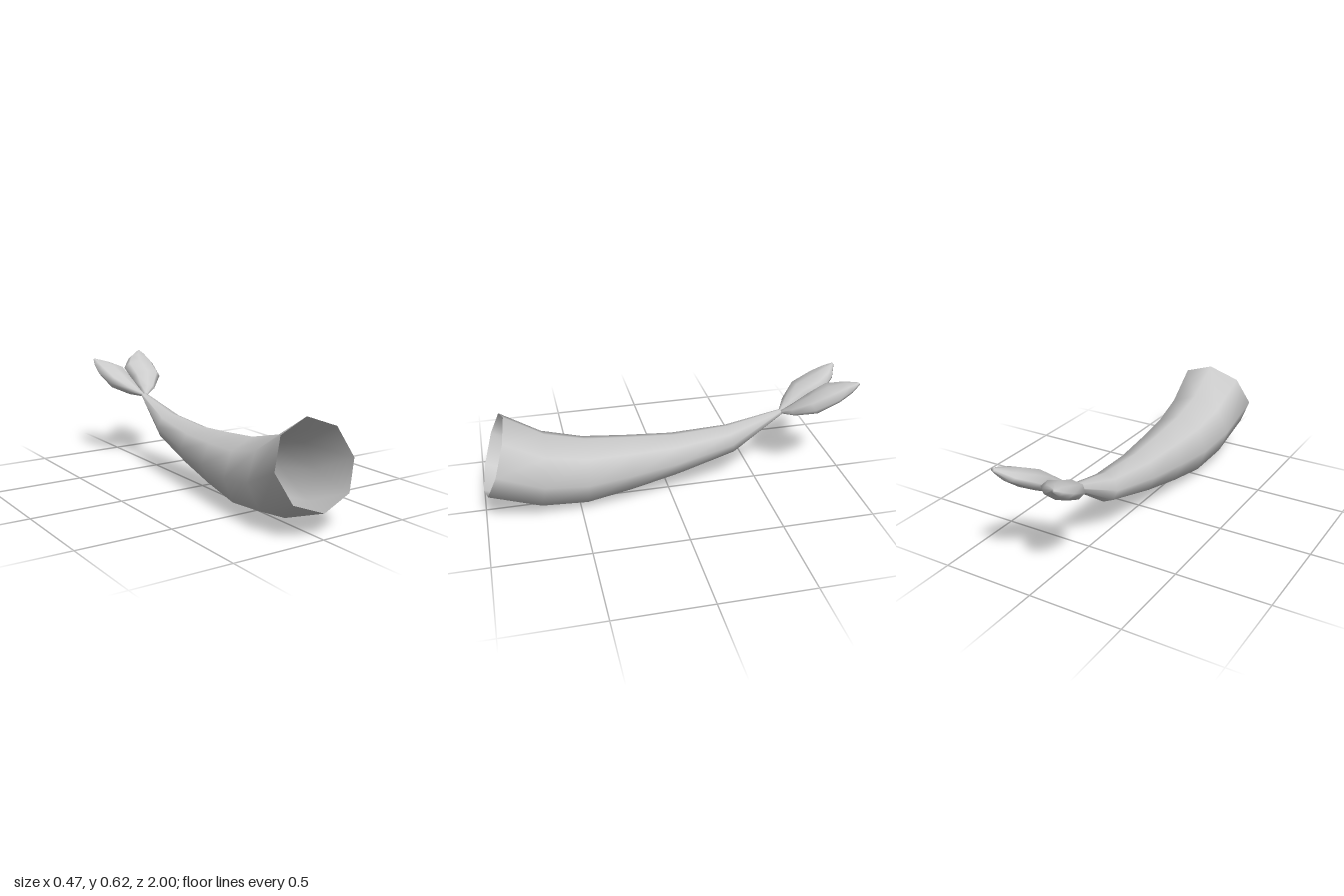
import * as THREE from 'three';

const SIDES = 8;

// Skin a list of equal-sized rings of points; optionally close both ends.
function loft(rings, capped) {
  const pos = rings.flat().flatMap(p => p.toArray());
  const index = [];
  const last = rings.length - 1;
  for (let i = 0; i < last; i++) {
    for (let j = 0; j < SIDES; j++) {
      const k = (j + 1) % SIDES;
      const a = i * SIDES + j, b = i * SIDES + k;
      index.push(a, b, a + SIDES, b, b + SIDES, a + SIDES);
    }
  }
  if (capped) {
    const e = last * SIDES;
    for (let j = 1; j < SIDES - 1; j++) {
      index.push(0, j + 1, j, e, e + j, e + j + 1);
    }
  }
  const geo = new THREE.BufferGeometry();
  geo.setAttribute('position', new THREE.Float32BufferAttribute(pos, 3));
  geo.setIndex(index);
  geo.computeVertexNormals();
  return geo;
}

// Elliptical ring around a centre, spanned by an "up" and an "across" half axis.
function ring(centre, up, across, dir = 1) {
  return Array.from({ length: SIDES }, (_, j) => {
    const a = dir * j * Math.PI * 2 / SIDES;
    return centre.clone().addScaledVector(up, Math.cos(a)).addScaledVector(across, Math.sin(a));
  });
}

// Curved, open-mouthed trunk: [top z, top y, bottom z, bottom y, half width]
function bodyGeometry() {
  const sections = [
    [0.86, 0.55, 1.0, 0.128, 0.235],
    [0.66, 0.425, 0.72, 0.025, 0.207],
    [0.45, 0.371, 0.47, 0.002, 0.179],
    [0.22, 0.35, 0.22, 0.045, 0.15],
    [-0.03, 0.333, -0.04, 0.105, 0.119],
    [-0.33, 0.35, -0.36, 0.195, 0.08],
    [-0.63, 0.415, -0.64, 0.395, 0.02],
  ];
  return loft(sections.map(([tz, ty, bz, by, w]) => {
    const top = new THREE.Vector3(0, ty, tz), bottom = new THREE.Vector3(0, by, bz);
    const centre = top.clone().add(bottom).multiplyScalar(0.5);
    return ring(centre, top.sub(centre), new THREE.Vector3(w, 0, 0));
  }), false);
}

// Leaf-shaped fluke: [inner x, y, z, outer x, y, z, half thickness]
function flukeGeometry(side, stretch) {
  const sections = [
    [0, 0.405, -0.635, 0.02, 0.405, -0.63, 0.01],
    [0, 0.43, -0.7, 0.09, 0.43, -0.67, 0.03],
    [0, 0.48, -0.79, 0.18, 0.485, -0.76, 0.05],
    [0, 0.535, -0.88, 0.2, 0.545, -0.88, 0.045],
    [0.07, 0.575, -0.955, 0.19, 0.585, -0.95, 0.03],
    [0.155, 0.612, -0.995, 0.172, 0.614, -0.998, 0.008],
  ];
  const root = new THREE.Vector3(0, 0.405, -0.63);
  const place = (x, y, z) =>
    new THREE.Vector3(x * side, y, z).sub(root).multiply(stretch).add(root);
  return loft(sections.map(([ix, iy, iz, ox, oy, oz, t]) => {
    const inner = place(ix, iy, iz), outer = place(ox, oy, oz);
    const centre = inner.clone().add(outer).multiplyScalar(0.5);
    const up = new THREE.Vector3(0, 0.87 * t, 0.5 * t);
    return ring(centre, up, outer.sub(centre), side);
  }), true);
}

export function createModel() {
  const group = new THREE.Group();
  const material = new THREE.MeshStandardMaterial({ color: 0xcccccc, side: THREE.DoubleSide });
  const add = (name, geometry) => {
    const mesh = new THREE.Mesh(geometry, material);
    mesh.name = name;
    group.add(mesh);
  };

  add('tailBody', bodyGeometry());
  add('leftFluke', flukeGeometry(1, new THREE.Vector3(1, 1, 1)));
  // The right fluke is slightly smaller and lower
  add('rightFluke', flukeGeometry(-1, new THREE.Vector3(0.92, 0.87, 0.96)));
  return group;
}
